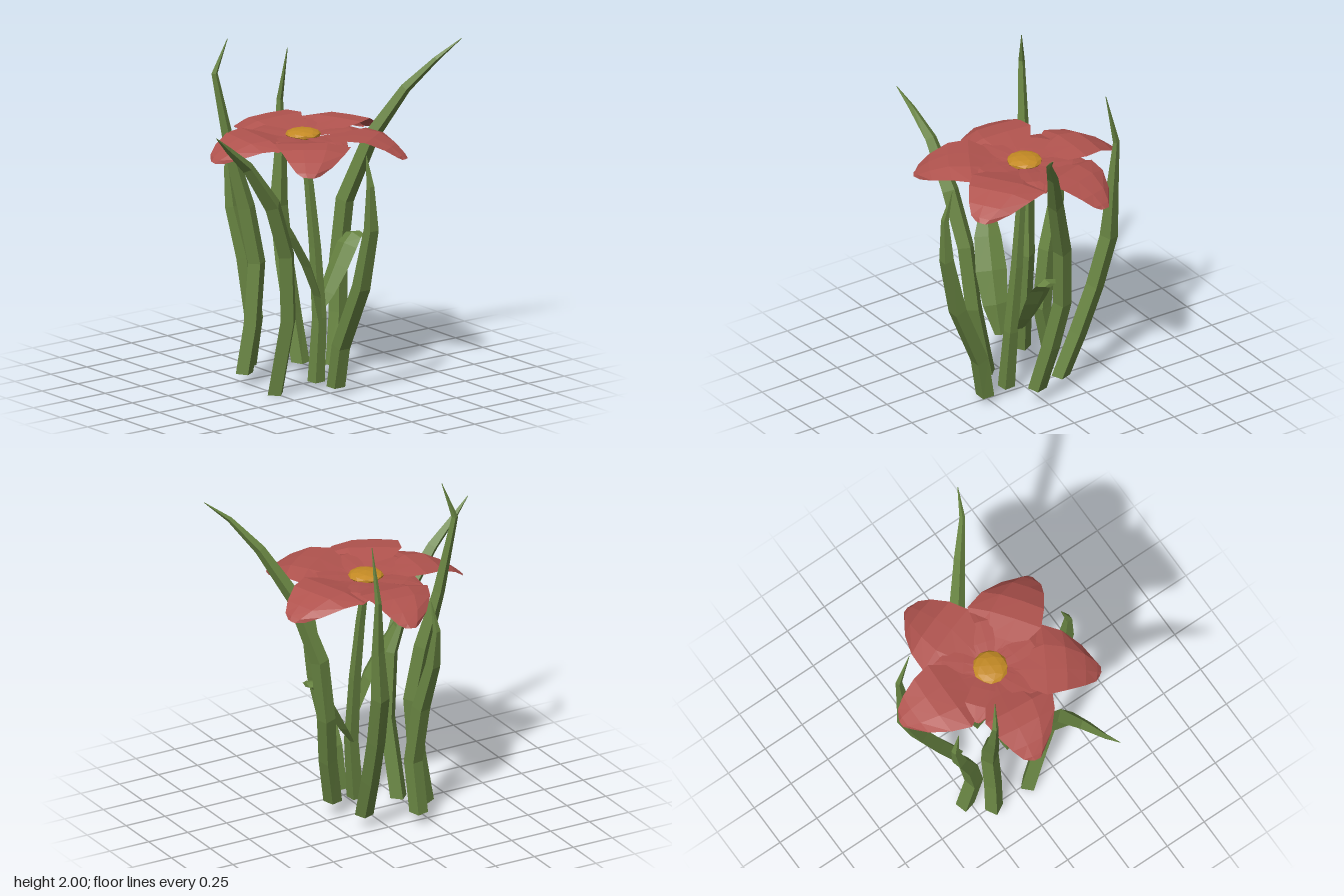
import * as THREE from 'three';

const green = new THREE.MeshStandardMaterial({ color: 0x688442, flatShading: true });
green.name = 'leafGreen';
const red = new THREE.MeshStandardMaterial({ color: 0xb0534e, flatShading: true, side: THREE.DoubleSide });
red.name = 'petalRed';
const gold = new THREE.MeshStandardMaterial({ color: 0xc48a24, flatShading: true });
gold.name = 'centreGold';

function fromTriangles(positions) {
  const g = new THREE.BufferGeometry();
  g.setAttribute('position', new THREE.Float32BufferAttribute(positions, 3));
  g.computeVertexNormals();
  return g;
}

function addMesh(parent, name, geometry, material) {
  const mesh = new THREE.Mesh(geometry, material);
  mesh.name = name;
  parent.add(mesh);
  return mesh;
}

const taper = (u) => Math.min(1, (1 - u) * 2) + 0.04;
const leafSwell = (u) => 0.2 + 0.8 * Math.sin(Math.PI * (0.06 + 0.84 * u));

// Four-sided strand swept along a path: halfW along the yaw direction, halfT across it
function strand(path, halfW, halfT, yawDegrees, profile) {
  const pts = path.map((p) => new THREE.Vector3(...p));
  const yaw = THREE.MathUtils.degToRad(yawDegrees);
  const last = pts.length - 1;
  const rings = pts.map((p, i) => {
    const t = i === 0 ? new THREE.Vector3(0, 1, 0)
      : pts[Math.min(i + 1, last)].clone().sub(pts[i - 1]).normalize();
    const w = new THREE.Vector3(Math.cos(yaw), 0, Math.sin(yaw));
    w.addScaledVector(t, -w.dot(t)).normalize();
    const n = t.clone().cross(w);
    const k = profile(i / last);
    return [[1, 0], [0, 1], [-1, 0], [0, -1]].map(([a, b]) =>
      p.clone().addScaledVector(w, a * halfW * k).addScaledVector(n, b * halfT * k));
  });
  const out = [];
  const quad = (a, b, c, d) => [a, b, c, a, c, d].forEach((v) => out.push(v.x, v.y, v.z));
  for (let i = 0; i < last; i++) {
    for (let j = 0; j < 4; j++) {
      const k = (j + 1) % 4;
      quad(rings[i][j], rings[i][k], rings[i + 1][k], rings[i + 1][j]);
    }
  }
  quad(...rings[0].slice().reverse());
  quad(...rings[last]);
  return fromTriangles(out);
}

// Petal rows: distance out, left edge, right edge, height, droop of the left edge
const outerRows = [
  [0.04, -0.05, 0.05, 1.412, 0.01],
  [0.17, -0.155, 0.13, 1.435, 0.022],
  [0.29, -0.23, 0.2, 1.462, 0.026],
  [0.4, -0.185, 0.18, 1.455, 0.026],
  [0.5, -0.105, 0.145, 1.41, 0.024],
  [0.56, -0.025, 0.11, 1.366, 0.015],
  [0.58, 0.02, 0.075, 1.345, 0],
];
const innerRows = [
  [0.05, -0.04, 0.04, 1.425, 0],
  [0.15, -0.075, 0.075, 1.436, 0],
  [0.27, -0.09, 0.09, 1.445, 0],
  [0.37, -0.02, 0.02, 1.42, 0],
];

function petal(rows) {
  const grid = rows.map(([r, l, w, y, droop]) => [
    [l, y - droop, -r * 0.98],
    [l * 0.5 + w * 0.08, y + 0.004, -r],
    [l * 0.3 + w * 0.6, y + 0.008, -r],
    [w, y + 0.008, -r * 0.98],
  ]);
  const out = [];
  for (let i = 0; i < grid.length - 1; i++) {
    for (let j = 0; j < 3; j++) {
      const a = grid[i][j], b = grid[i][j + 1], c = grid[i + 1][j + 1], d = grid[i + 1][j];
      [a, b, c, a, c, d].forEach((v) => out.push(...v));
    }
  }
  return fromTriangles(out);
}

// Ring of petals, each given as an angle clockwise from the back and a length factor
function petalRing(parent, name, rows, layout) {
  const geometry = petal(rows);
  layout.forEach(([angle, length], i) => {
    const mesh = addMesh(parent, `${name}${i + 1}`, geometry, red);
    mesh.rotation.y = -THREE.MathUtils.degToRad(angle);
    mesh.scale.z = length;
  });
}

export function createModel() {
  const group = new THREE.Group();
  group.name = 'flowerPlant';

  // Long grass blades
  const blades = [
    ['backLeftTallBlade', 15, [[-0.28, 0.07, -0.17], [-0.24, 0.35, -0.15], [-0.21, 0.7, -0.15], [-0.26, 1.02, -0.18],
      [-0.34, 1.35, -0.22], [-0.42, 1.8, -0.26], [-0.36, 2.0, -0.22]]],
    ['backShortBlade', 30, [[-0.17, 0.07, -0.29], [-0.17, 0.36, -0.23], [-0.19, 0.7, -0.28], [-0.22, 0.98, -0.36],
      [-0.225, 1.2, -0.395], [-0.21, 1.37, -0.36]]],
    ['backBlade', 25, [[0.11, 0.07, -0.17], [0.13, 0.32, -0.27], [0.15, 0.6, -0.37], [0.17, 0.9, -0.45],
      [0.19, 1.2, -0.46], [0.2, 1.5, -0.48], [0.2, 1.81, -0.41]]],
    ['leftBlade', 30, [[0.19, 0.09, 0.04], [0.25, 0.37, -0.01], [0.29, 0.65, -0.06], [0.32, 1.0, -0.04],
      [0.42, 1.37, 0.07], [0.57, 1.65, 0.19], [0.7, 1.82, 0.3], [0.83, 1.93, 0.36]]],
    ['rightBlade', 0, [[-0.255, 0, 0.08], [-0.24, 0.45, 0.18], [-0.275, 0.83, 0.21], [-0.39, 1.14, 0.235],
      [-0.57, 1.39, 0.245], [-0.72, 1.52, 0.27], [-0.83, 1.615, 0.3]]],
    ['frontBlade', 45, [[0.02, 0.04, 0.275], [0.025, 0.28, 0.315], [0.045, 0.65, 0.475], [0.055, 1.0, 0.555],
      [0.045, 1.25, 0.56], [0.05, 1.42, 0.515]]],
  ];
  for (const [name, yaw, path] of blades) {
    addMesh(group, name, strand(path, 0.05, 0.05, yaw, taper), green);
  }

  // Stem and its two broad leaves
  addMesh(group, 'stem', strand([[0, 0.04, 0.12], [0.03, 0.4, 0.11], [0.03, 0.8, 0.07], [0.015, 1.15, 0.035],
    [0, 1.41, 0]], 0.048, 0.048, 40, (u) => 1 - 0.6 * u), green);
  addMesh(group, 'leftLeaf', strand([[0.06, 0.42, 0.06], [0.12, 0.52, 0.06], [0.2, 0.66, 0.06], [0.26, 0.77, 0.06],
    [0.305, 0.82, 0.06], [0.35, 0.825, 0.06]], 0.083, 0.028, 84, leafSwell), green);
  addMesh(group, 'rightLeaf', strand([[0, 0.38, 0.16], [-0.035, 0.56, 0.17], [-0.1, 0.74, 0.155], [-0.18, 0.91, 0.125],
    [-0.24, 1.05, 0.09]], 0.09, 0.025, 108, leafSwell), green);

  // Broad petals, with small petals bridging the gaps between them
  const flower = new THREE.Group();
  flower.name = 'flower';
  petalRing(flower, 'petal', outerRows, [[0, 1], [70, 1.03], [143, 1.05], [210, 1.06], [274, 0.99]]);
  petalRing(flower, 'innerPetal', innerRows, [[36, 1], [107, 1], [176, 1], [243, 1], [318, 0.9]]);

  // Domed flower centre on a small cup
  const cup = addMesh(flower, 'flowerCup', new THREE.CylinderGeometry(0.11, 0.06, 0.02, 10), red);
  cup.position.y = 1.405;
  const centre = addMesh(flower, 'flowerCentre', new THREE.IcosahedronGeometry(0.1, 1), gold);
  centre.scale.y = 0.3;
  centre.position.y = 1.44;
  group.add(flower);

  return group;
}
